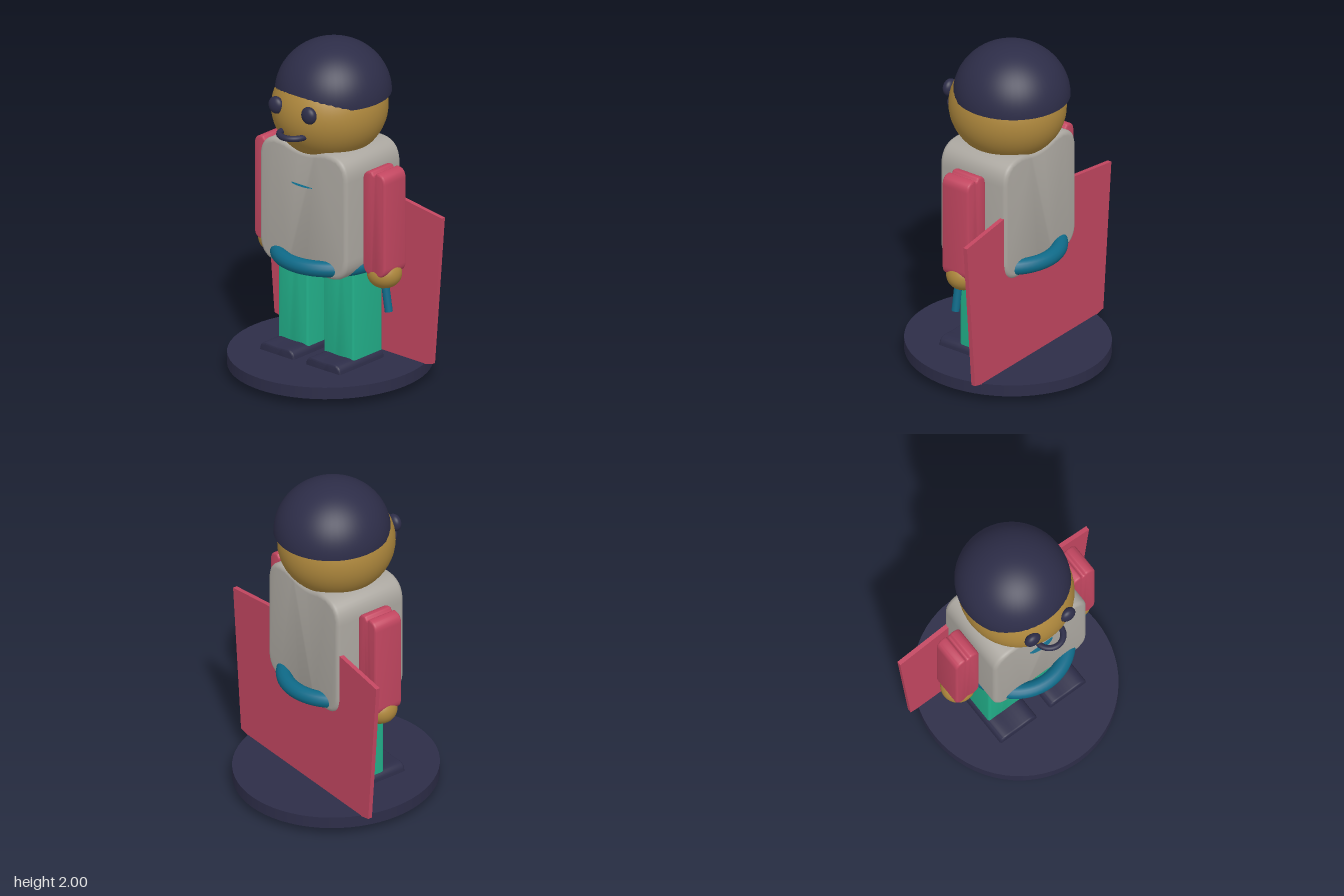
import * as THREE from 'three';
import { toCreasedNormals } from 'three/addons/utils/BufferGeometryUtils.js';

const material = (name, color, side = THREE.FrontSide) => {
  const m = new THREE.MeshStandardMaterial({ color, side });
  m.name = name;
  return m;
};

export function createModel() {
  const group = new THREE.Group();
  const navy = material('navy', 0x2d2d48, THREE.DoubleSide);
  const skin = material('skin', 0xac863c);
  const grey = material('warm grey', 0xaba7a0);
  const red = material('crimson', 0xc24660);
  const green = material('green', 0x22b08a);
  const teal = material('teal', 0x0f6a88, THREE.DoubleSide);

  const add = (name, geometry, mat, x = 0, y = 0, z = 0) => {
    const mesh = new THREE.Mesh(geometry, mat);
    mesh.name = name;
    mesh.position.set(x, y, z);
    group.add(mesh);
    return mesh;
  };

  const ellipsoid = (name, mat, rx, ry, rz, x, y, z, sweep = Math.PI) => {
    const g = new THREE.SphereGeometry(1, 48, 32, 0, Math.PI * 2, 0, sweep);
    return add(name, g.scale(rx, ry, rz), mat, x, y, z);
  };

  // Soft block: rounded corners, a shallow dip in the top and bottom edges, bevelled faces
  const softBlock = (w, h, d, r, dip, bevel) => {
    const a = w / 2, b = h / 2, p = a - r;
    const s = new THREE.Shape();
    s.moveTo(a, -b + r);
    s.lineTo(a, b - r);
    s.quadraticCurveTo(a, b, p, b);
    s.bezierCurveTo(p * 0.6, b, p * 0.5, b - dip, 0, b - dip);
    s.bezierCurveTo(-p * 0.5, b - dip, -p * 0.6, b, -p, b);
    s.quadraticCurveTo(-a, b, -a, b - r);
    s.lineTo(-a, -b + r);
    s.quadraticCurveTo(-a, -b, -p, -b);
    s.bezierCurveTo(-p * 0.6, -b, -p * 0.5, -b + dip, 0, -b + dip);
    s.bezierCurveTo(p * 0.5, -b + dip, p * 0.6, -b, p, -b);
    s.quadraticCurveTo(a, -b, a, -b + r);
    const g = new THREE.ExtrudeGeometry(s, {
      depth: d - 2 * bevel, curveSegments: 10, bevelEnabled: true, bevelSegments: 3,
      bevelSize: bevel, bevelThickness: bevel, bevelOffset: -bevel,
    });
    g.translate(0, 0, bevel - d / 2);
    return toCreasedNormals(g, 0.6);
  };

  // Stand
  add('standDisc', new THREE.CylinderGeometry(1, 1, 0.07, 64).scale(0.573, 1, 0.596), navy, 0, 0.085, 0);

  // Torso, belt and the thin chest tab
  add('torso', softBlock(0.66, 0.755, 0.47, 0.14, 0.03, 0.025), grey, 0, 1.0425, 0);
  add('belt', new THREE.TorusGeometry(0.295, 0.046, 16, 64).rotateX(Math.PI / 2), teal, 0, 0.725, 0);
  add('chestTab', new THREE.CircleGeometry(1, 24, Math.PI, Math.PI)
    .rotateX(-Math.PI / 2).scale(0.08, 1, 0.025), teal, 0, 1.19, 0.235);

  // Head, cap and face
  ellipsoid('head', skin, 0.326, 0.3, 0.341, 0, 1.61, 0.003);
  ellipsoid('cap', navy, 0.328, 0.31, 0.336, 0, 1.69, -0.027, Math.PI / 2);
  add('mouth', new THREE.TorusGeometry(0.08, 0.018, 12, 32, Math.PI).rotateX(Math.PI / 2), navy, 0, 1.525, 0.312);
  for (const x of [-0.08, 0.08]) ellipsoid('mouthEnd', navy, 0.018, 0.018, 0.018, x, 1.525, 0.312);

  // Mirrored eyes, arms, hands, legs and shoes
  for (const side of [1, -1]) {
    const label = side > 0 ? 'left' : 'right';
    ellipsoid(label + 'Eye', navy, 0.05, 0.051, 0.034, side * 0.124, 1.67, 0.319);
    add(label + 'Arm', softBlock(0.165, 0.63, 0.187, 0.06, 0.018, 0.012), red, side * 0.412, 1.015, 0);
    ellipsoid(label + 'Hand', skin, 0.1, 0.088, 0.1, side * 0.412, 0.697, 0);
    add(label + 'Leg', softBlock(0.226, 0.74, 0.248, 0.06, 0.012, 0.014), green, side * 0.173, 0.39, 0.001);
    add(label + 'Shoe', softBlock(0.26, 0.11, 0.38, 0.055, 0.003, 0.012), navy, side * 0.175, 0.115, 0.07);
  }

  // Short rod held in the left hand
  const rod = add('rod', new THREE.CylinderGeometry(0.023, 0.023, 0.24, 24), teal, 0.442, 0.598, 0.02);
  rod.rotation.z = 0.17;

  // Flat cape
  const outline = [[0, 0], [0.597, 0.13], [0.672, 1.035], [0, 1.13], [-0.672, 1.035], [-0.597, 0.13]];
  const cape = new THREE.Shape(outline.map(([x, y]) => new THREE.Vector2(x, y)));
  add('cape', new THREE.ExtrudeGeometry(cape, { depth: 0.026, bevelEnabled: false }), red, 0, 0, -0.222);

  return group;
}
